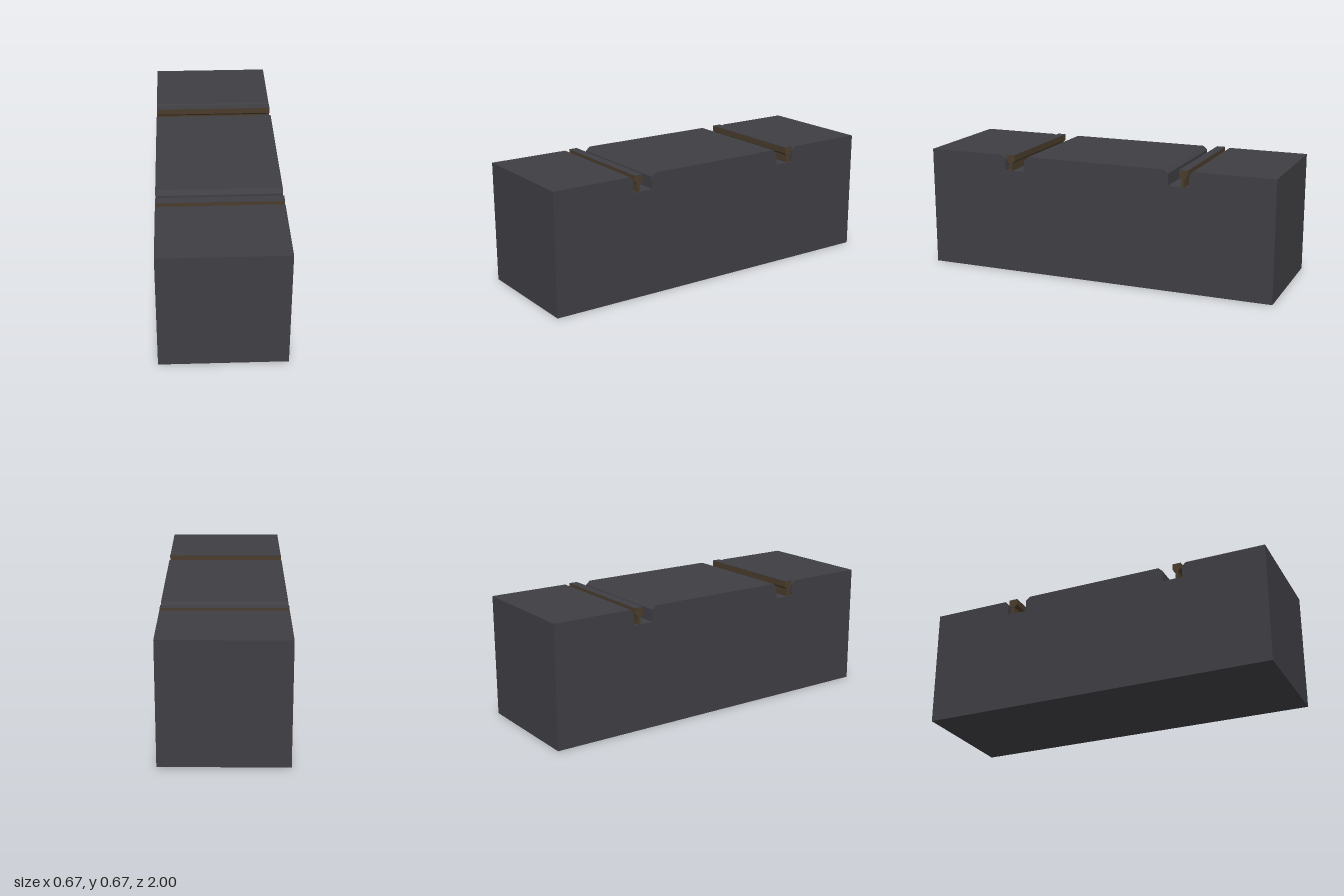
import * as THREE from 'three';

const WIDTH = 0.667;

// Extrude a [z, y] outline across the full width along x.
function extrudeAcross(points, materials) {
  const shape = new THREE.Shape(points.map(([z, y]) => new THREE.Vector2(-z, y)));
  const geometry = new THREE.ExtrudeGeometry(shape, { depth: WIDTH, bevelEnabled: false });
  geometry.translate(0, 0, -WIDTH / 2);
  geometry.rotateY(Math.PI / 2);
  return new THREE.Mesh(geometry, materials);
}

export function createModel() {
  const asphalt = new THREE.MeshStandardMaterial({ color: 0x3f3e43 });
  asphalt.name = 'asphalt';
  const rust = new THREE.MeshStandardMaterial({ color: 0x4a3c2b });
  rust.name = 'rusty steel';
  const model = new THREE.Group();
  model.name = 'embeddedTrack';

  // Road block with two chamfered rail grooves
  const top = 0.666, lip = 0.645, floor = 0.58;
  const groove = [
    [0.397, top], [0.42, lip], [0.42, floor],
    [0.535, floor], [0.535, lip], [0.555, top],
  ];
  const mirrored = groove.map(([z, y]) => [-z, y]).reverse();
  const road = extrudeAcross([[-1, 0], [-1, top], ...mirrored, ...groove, [1, top], [1, 0]], asphalt);
  road.name = 'roadBlock';
  model.add(road);

  // Rails: wide head tapering into a narrow web
  const headTop = 0.668;
  const half = [[0.008, floor], [0.008, 0.621], [0.024, 0.636], [0.024, headTop]];
  const outline = [...half, ...half.map(([z, y]) => [-z, y]).reverse()];
  for (const side of [1, -1]) {
    const rail = new THREE.Group();
    rail.name = side > 0 ? 'frontRail' : 'backRail';
    const body = extrudeAcross(outline, rust);
    body.name = 'railBody';
    // Worn running surface
    const tread = new THREE.Mesh(new THREE.BoxGeometry(WIDTH, 0.002, 0.048), asphalt);
    tread.name = 'runningSurface';
    tread.position.y = headTop + 0.001;
    rail.add(body, tread);
    rail.position.z = side * 0.504;
    model.add(rail);
  }
  return model;
}
